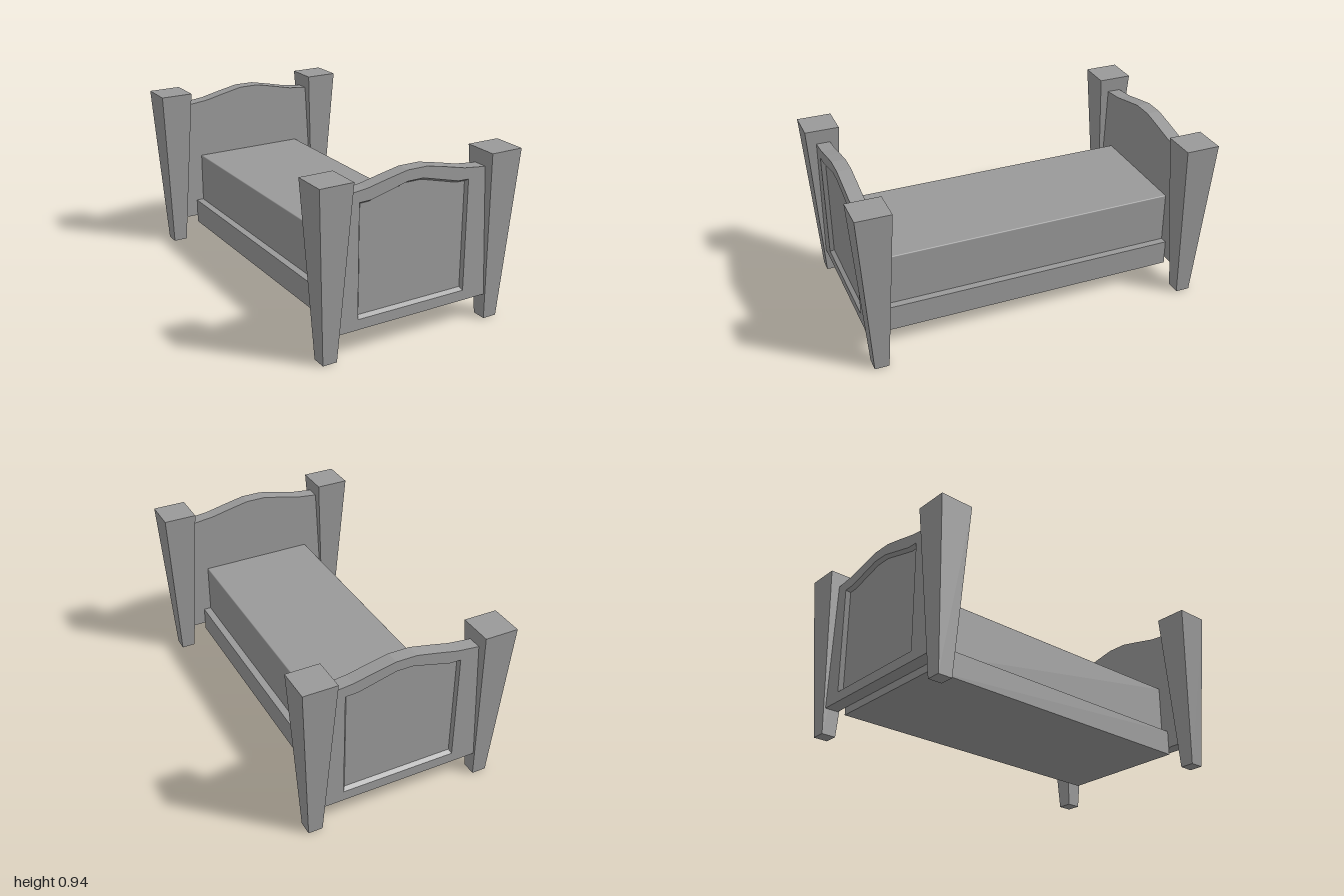
import * as THREE from 'three';
import { RoundedBoxGeometry } from 'three/addons/geometries/RoundedBoxGeometry.js';

const toShape = (pts) => new THREE.Shape(pts.map(([x, y]) => new THREE.Vector2(x, y)));

// Outline of an end board with its arched top (counter-clockwise)
const BOARD = [
  [-0.465, 0.143], [0.465, 0.143], [0.425, 0.862], [0.405, 0.863], [0.28, 0.877],
  [0.17, 0.902], [0.05, 0.927], [-0.065, 0.927], [-0.18, 0.903], [-0.295, 0.877],
  [-0.405, 0.865], [-0.425, 0.862],
];
// Recessed panel: rim at the face and the smaller floor outline
const RIM = [[-0.338, 0.2], [0.308, 0.2], [0.308, 0.813], [0.245, 0.815],
  [0.03, 0.87], [-0.06, 0.87], [-0.27, 0.815], [-0.338, 0.813]];
const FLOOR = [[-0.322, 0.215], [0.3, 0.215], [0.3, 0.799], [0.245, 0.801],
  [0.03, 0.856], [-0.06, 0.856], [-0.27, 0.801], [-0.322, 0.799]];
const Z_IN = 0.865, Z_OUT = 0.942, DEPTH = 0.022;

// Sloping band between two outlines of equal length
function bevelBand(outer, inner, zOuter, zInner) {
  const pos = [];
  outer.forEach((a, i) => {
    const j = (i + 1) % outer.length;
    const A = [...a, zOuter], B = [...outer[j], zOuter];
    const C = [...inner[j], zInner], D = [...inner[i], zInner];
    pos.push(...A, ...B, ...C, ...A, ...C, ...D);
  });
  const g = new THREE.BufferGeometry();
  g.setAttribute('position', new THREE.Float32BufferAttribute(pos, 3));
  g.computeVertexNormals();
  return g;
}

// Square post that narrows toward the floor
function taperedPost() {
  const h = 0.945, g = new THREE.BoxGeometry(0.186, h, 0.19);
  g.translate(0, h / 2, 0);
  const p = g.attributes.position;
  for (let i = 0; i < p.count; i++) {
    if (p.getY(i) < 0.01) p.setXYZ(i, Math.sign(p.getX(i)) * 0.04, 0, Math.sign(p.getZ(i)) * 0.04);
  }
  g.computeVertexNormals();
  return g;
}

export function createModel() {
  const model = new THREE.Group();
  model.name = 'bed';
  const grey = new THREE.MeshStandardMaterial({ color: 0x999999 });
  grey.name = 'grey';
  const add = (parent, name, geometry, x = 0, y = 0, z = 0) => {
    const m = new THREE.Mesh(geometry, grey);
    m.name = name;
    m.position.set(x, y, z);
    parent.add(m);
  };

  // Rail base and mattress
  add(model, 'railBase', new THREE.BoxGeometry(0.75, 0.143, 1.734), 0, 0.1715, 0);
  add(model, 'mattress', new RoundedBoxGeometry(0.666, 0.33, 1.734, 2, 0.006), 0, 0.367, 0);

  // Shared parts of both ends
  const slabDepth = Z_OUT - Z_IN - DEPTH;
  const slab = new THREE.ExtrudeGeometry(toShape(BOARD), { depth: slabDepth, bevelEnabled: false });
  const frameShape = toShape(BOARD);
  frameShape.holes.push(new THREE.Path(RIM.map(([x, y]) => new THREE.Vector2(x, y))));
  const frame = new THREE.ExtrudeGeometry(frameShape, { depth: DEPTH, bevelEnabled: false });
  const bevel = bevelBand(RIM, FLOOR, Z_OUT, Z_OUT - DEPTH);
  const post = taperedPost();

  // The two ends are the same, turned half round
  ['footEnd', 'headEnd'].forEach((name, i) => {
    const end = new THREE.Group();
    end.name = name;
    add(end, 'boardSlab', slab, 0, 0, Z_IN);
    add(end, 'boardFrame', frame, 0, 0, Z_IN + slabDepth);
    add(end, 'panelBevel', bevel);
    add(end, 'leftPost', post, 0.498, 0, 0.905);
    add(end, 'rightPost', post, -0.498, 0, 0.905);
    end.rotation.y = i * Math.PI;
    model.add(end);
  });
  return model;
}
